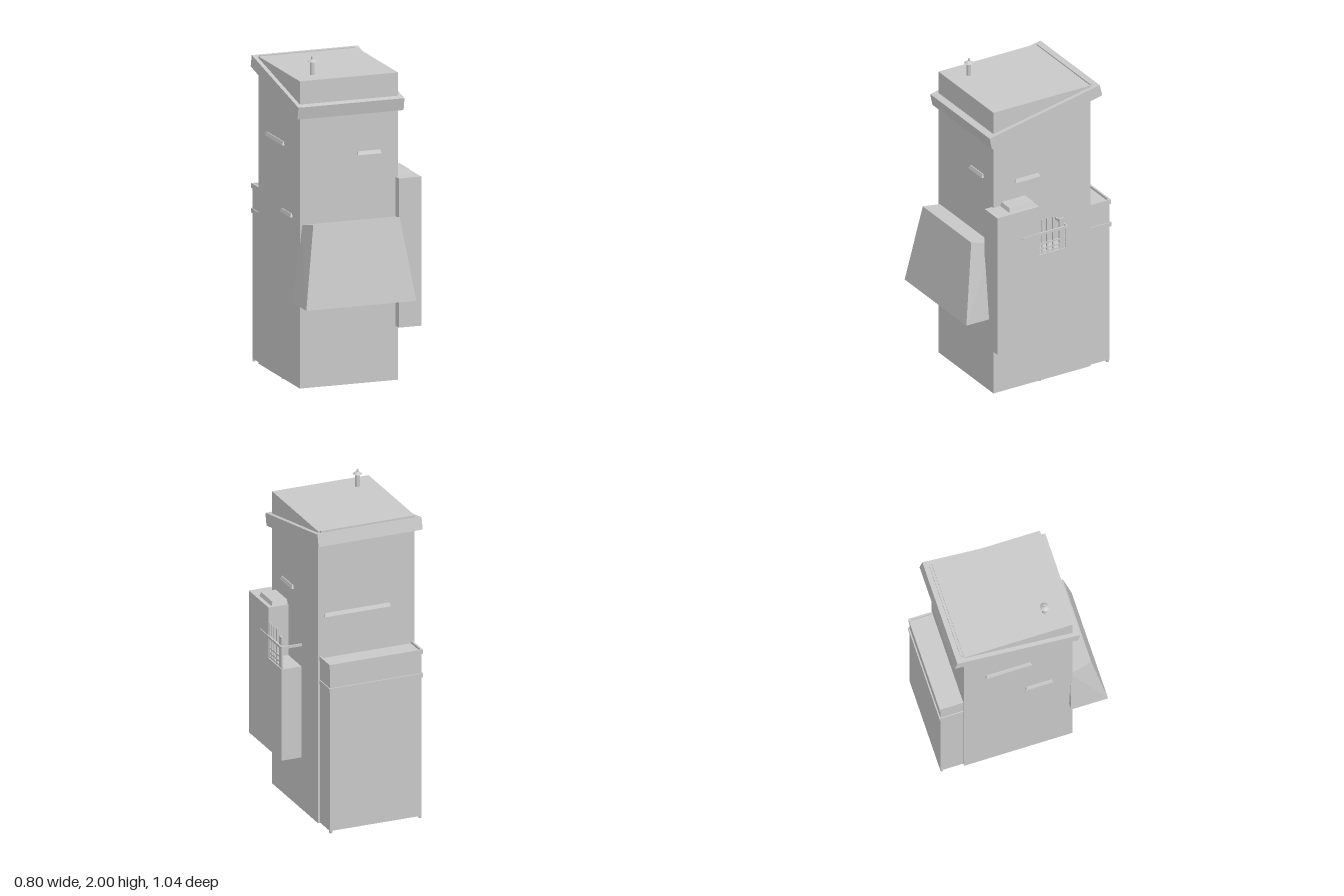
import * as THREE from 'three';
import { ConvexGeometry } from 'three/addons/geometries/ConvexGeometry.js';

export function createModel() {
  const root = new THREE.Group();
  const grey = new THREE.MeshStandardMaterial({ color: 0xc8c8c8 });
  grey.name = 'plain grey';

  const add = (name, geometry, parent = root) => {
    const mesh = new THREE.Mesh(geometry, grey);
    mesh.name = name;
    parent.add(mesh);
    return mesh;
  };
  // Box given by its limits on each axis
  const box = (name, x0, x1, y0, y1, z0, z1, parent) => {
    const g = new THREE.BoxGeometry(x1 - x0, y1 - y0, z1 - z0);
    g.translate((x0 + x1) / 2, (y0 + y1) / 2, (z0 + z1) / 2);
    return add(name, g, parent);
  };
  // Flat-faced solid around a few corners
  const hull = (name, corners, parent) =>
    add(name, new ConvexGeometry(corners.map((c) => new THREE.Vector3(...c))), parent);
  const group = (name) => {
    const g = new THREE.Group();
    g.name = name;
    root.add(g);
    return g;
  };

  // Tower and tilted roof collar
  box('towerBody', -0.36, 0.265, 0.015, 1.89, -0.365, 0.31);
  const profile = [[1.74, 0.352], [1.664, 0.336], [1.817, -0.432], [1.89, -0.415]];
  hull('roofCollar', [-0.385, 0.29].flatMap((x) => profile.map(([y, z]) => [x, y, z])));
  box('roofLip', -0.35, 0.253, 1.875, 1.895, -0.383, -0.368);

  // Roof vent
  const vent = group('roofVent');
  vent.position.set(-0.23, 1.88, 0.178);
  const turned = (name, r0, r1, y0, y1) => {
    const g = new THREE.CylinderGeometry(r1, r0, y1 - y0, 10).toNonIndexed();
    g.computeVertexNormals();
    g.translate(0, (y0 + y1) / 2, 0);
    add(name, g, vent);
  };
  turned('ventPipe', 0.014, 0.014, 0, 0.09);
  turned('ventCap', 0.029, 0.01, 0.09, 0.104);
  turned('ventTip', 0.006, 0.006, 0.1, 0.12);

  // Front hood, flaring out downwards
  hull('frontHood', [
    [-0.325, 1.04, 0.44], [0.225, 1.04, 0.44],
    [-0.345, 1.01, 0.30], [0.245, 1.01, 0.30],
    [-0.40, 0.54, 0.52], [0.30, 0.54, 0.52],
    [-0.40, 0.54, 0.29], [0.30, 0.54, 0.29],
  ]);

  // Side cabinet with a stepped back corner
  const cabinet = group('sideCabinet');
  box('cabinetTall', 0.25, 0.393, 0.345, 1.255, 0.07, 0.362, cabinet);
  box('cabinetLow', 0.25, 0.393, 0.345, 0.93, -0.122, 0.07, cabinet);
  hull('cabinetCap', [
    [0.255, 1.25, 0.265], [0.37, 1.25, 0.265], [0.37, 1.25, 0.08], [0.255, 1.25, 0.08],
    [0.265, 1.28, 0.255], [0.36, 1.28, 0.255], [0.36, 1.28, 0.09], [0.265, 1.28, 0.09],
  ], cabinet);

  // Railing over the step
  const railing = group('railing');
  for (const z of [0.066, 0.044, 0.008, -0.033])
    box('railingBar', 0.377, 0.387, 0.93, 1.157, z - 0.005, z + 0.005, railing);
  for (const y of [0.94, 0.965, 0.997])
    box('railingCrossbar', 0.378, 0.388, y - 0.005, y + 0.005, -0.115, 0.07, railing);
  box('railingPost', 0.376, 0.388, 0.93, 1.13, -0.106, -0.074, railing);
  box('handrail', 0.387, 0.398, 1.062, 1.077, -0.122, 0.19, railing);
  box('handrailReturn', 0.26, 0.398, 1.062, 1.077, -0.129, -0.12, railing);
  box('handrailPost', 0.385, 0.393, 0.93, 1.07, -0.122, -0.114, railing);

  // Rear bin with raised rim and seam band
  const bin = group('rearBin');
  box('binBody', -0.345, 0.25, 0.015, 1.07, -0.508, -0.36, bin);
  box('binSeam', -0.351, 0.256, 0.905, 0.932, -0.516, -0.36, bin);
  box('binRimBack', -0.35, 0.255, 1.055, 1.084, -0.514, -0.502, bin);
  for (const x of [-0.35, 0.243])
    box('binRimSide', x, x + 0.012, 1.055, 1.084, -0.51, -0.36, bin);

  // Slim ledges on the walls, wider at the bottom
  const ledge = (name, length, x, y, z, turn) => {
    const h = length / 2;
    const m = hull(name, [
      [-h, 0, -0.005], [h, 0, -0.005], [-h, 0, 0.014], [h, 0, 0.014],
      [-h + 0.008, 0.021, -0.005], [h - 0.008, 0.021, -0.005],
      [-h + 0.008, 0.021, 0.006], [h - 0.008, 0.021, 0.006],
    ]);
    m.position.set(x, y, z);
    m.rotation.y = turn;
  };
  ledge('frontLedge', 0.155, 0.08, 1.41, 0.31, 0);
  ledge('leftLedge', 0.175, 0.265, 1.385, 0.078, Math.PI / 2);
  ledge('rightUpperLedge', 0.29, -0.36, 1.443, -0.088, -Math.PI / 2);
  ledge('rightLowerLedge', 0.175, -0.36, 1.033, 0.103, -Math.PI / 2);
  ledge('backLedge', 0.43, 0.012, 1.335, -0.365, Math.PI);

  // Small feet
  for (const x of [-0.338, 0.24])
    for (const z of [-0.025, -0.498])
      add('foot', new THREE.CylinderGeometry(0.01, 0.01, 0.02, 8)).position.set(x, 0.01, z);

  return root;
}
